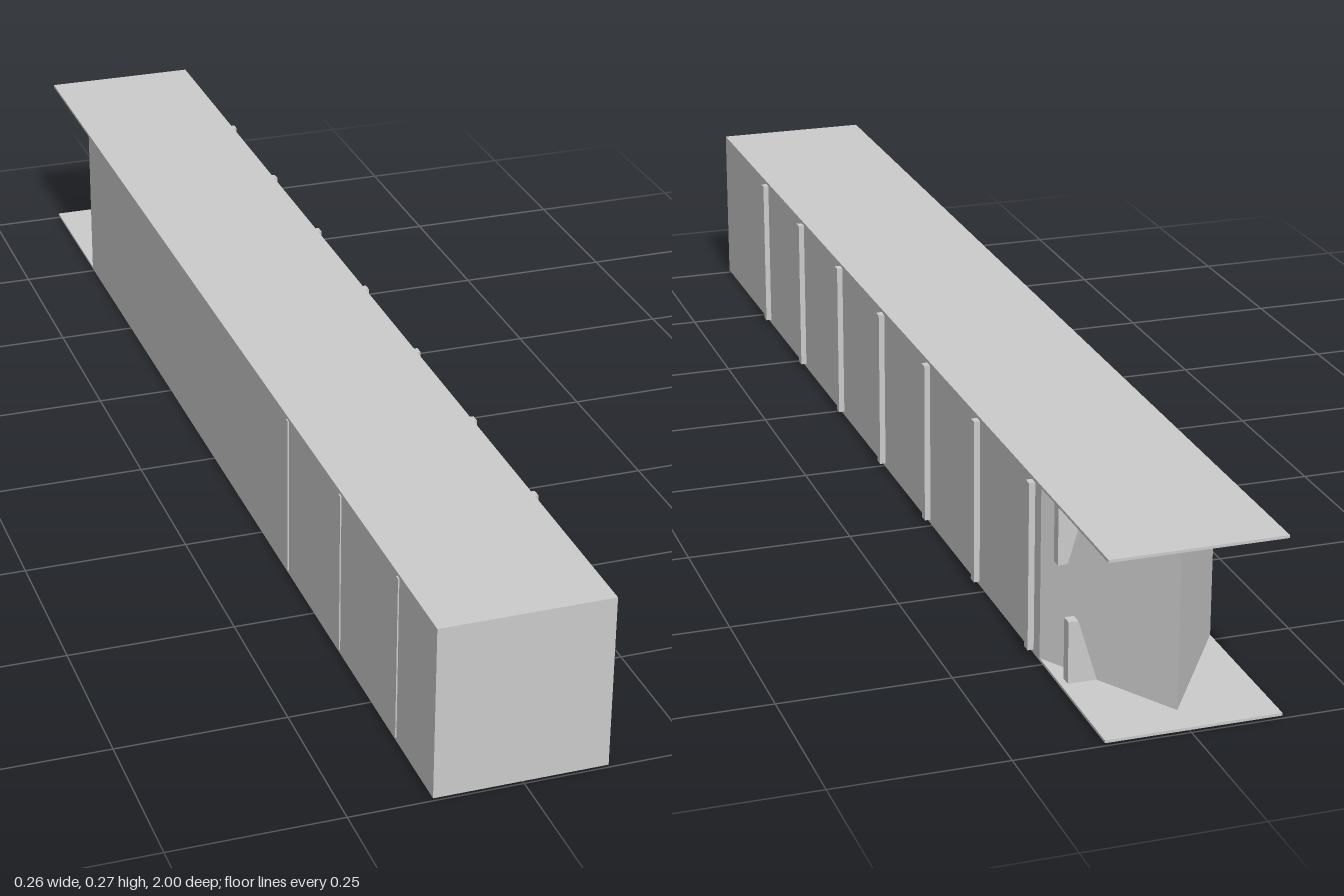
import * as THREE from 'three';

export function createModel() {
  const model = new THREE.Group();
  const material = new THREE.MeshStandardMaterial({ color: 0xcccccc, flatShading: true });

  const add = (name, geometry) => {
    const mesh = new THREE.Mesh(geometry, material);
    mesh.name = name;
    model.add(mesh);
    return mesh;
  };

  // Box given by its minimum and maximum on each axis
  const box = (name, x0, x1, y0, y1, z0, z1) =>
    add(name, new THREE.BoxGeometry(x1 - x0, y1 - y0, z1 - z0))
      .position.set((x0 + x1) / 2, (y0 + y1) / 2, (z0 + z1) / 2);

  const extrude = (points, depth) =>
    new THREE.ExtrudeGeometry(
      new THREE.Shape(points.map(([x, y]) => new THREE.Vector2(x, y))),
      { depth, bevelEnabled: false });

  const left = 0.122, right = -0.13;
  const floorY = 0.004, floorTop = 0.008, roofY = 0.262, roofTop = 0.266;

  // Floor and roof plates run past the walls at the back
  box('floorPlate', right, left, floorY, floorTop, -1, 1);
  box('roofPlate', right, left, roofY, roofTop, -1, 1);

  // Body: straight walls closing in a wedge at the back (plan drawn as x, -z)
  const body = extrude(
    [[right, -1], [left, -1], [left, 0.745], [0, 0.949], [right, 0.75]],
    roofY - floorTop);
  body.rotateX(-Math.PI / 2);
  add('body', body).position.y = floorTop;

  // Upright ribs: deep on the left wall, shallow on the right wall
  for (let i = 0; i < 7; i++) {
    const z = 0.699 - i * 0.2355;
    box('leftRib', left - 0.004, 0.131, 0.01, 0.261, z - 0.007, z + 0.007);
  }
  for (let i = 0; i < 3; i++) {
    const z = 0.854 - i * 0.235;
    box('rightRib', -0.132, right + 0.004, 0.01, 0.261, z - 0.004, z + 0.004);
  }

  // Tapered teeth beside the wedge, one standing on the floor, one hanging
  add('lowerTooth', extrude(
    [[0.07, floorTop], [0.112, floorTop], [0.112, 0.1], [0.098, 0.1]], 0.017))
    .position.z = -0.831;
  add('upperTooth', extrude(
    [[0.08, roofY], [0.106, 0.175], [0.12, 0.175], [0.12, roofY]], 0.016))
    .position.z = -0.808;

  // Staggered rows of small feet under the floor
  for (let i = 0; i < 6; i++) {
    const z = 0.595 - i * 0.238;
    box('leftFoot', 0.076, 0.118, 0, floorY + 0.001, z - 0.009, z + 0.009);
  }
  for (let i = 0; i < 7; i++) {
    const z = 0.74 - i * 0.236;
    box('rightFoot', -0.127, -0.085, 0, floorY + 0.001, z - 0.009, z + 0.009);
  }

  return model;
}
